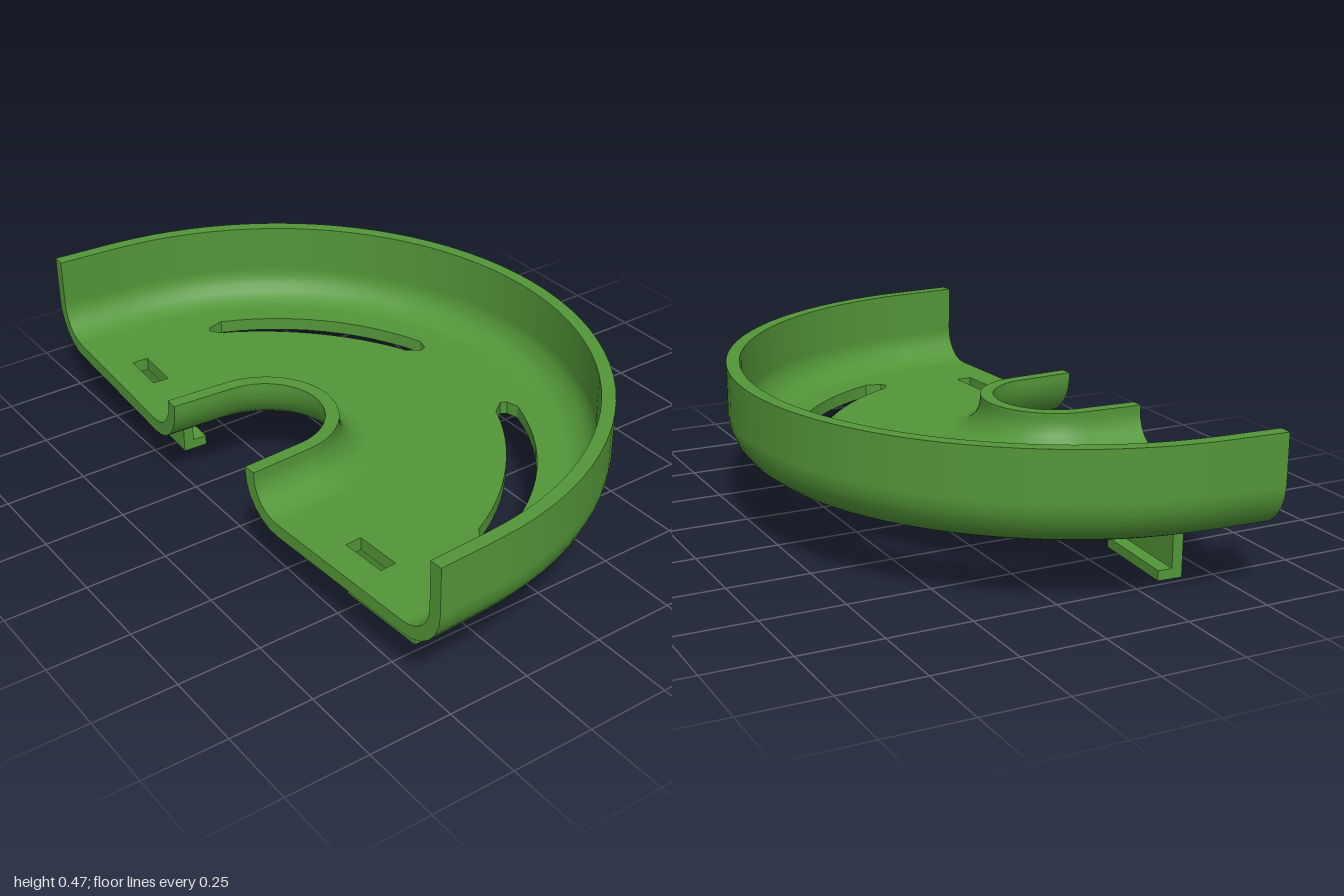
import * as THREE from 'three';
import { mergeGeometries } from 'three/addons/utils/BufferGeometryUtils.js';

const CX = -0.41;                          // centre of the curved sweep
const TILT = THREE.MathUtils.degToRad(3.3); // slant of the two cut ends
const END = Math.PI / 2 - TILT;
const STRAIGHT = 0.187;                    // straight run after the arc
const FLOOR = 0.19, THICK = 0.04, BEND_Y = 0.33;
const R_IN = 0.32, R_OUT = 0.85;           // flat part of the floor

// Stations along the sweep: straight, arc, straight
const stations = [];
const station = (a, run) => {
  const s = Math.sign(a);
  stations.push({ c: Math.cos(a), s: Math.sin(a), ox: CX - s * Math.sin(a) * run, oz: s * Math.cos(a) * run });
};
station(-END, STRAIGHT);
for (let i = 0; i <= 44; i++) station(-END + (2 * END * i) / 44, 0);
station(END, STRAIGHT);
const place = (st, r) => [st.ox + st.c * r, st.oz + st.s * r];

// Profile points are [r, y, normalR, normalY]
function bend(r, radius, from, to, sign) {
  const pts = [];
  for (let i = 0; i <= 6; i++) {
    const a = THREE.MathUtils.degToRad(from + ((to - from) * i) / 6);
    const c = Math.cos(a), s = Math.sin(a);
    pts.push([r + c * radius, BEND_Y + s * radius, c * sign, s * sign]);
  }
  return pts;
}

// Sweep one smooth strip of a profile along the stations
function sweep(strip) {
  const pos = [], nor = [], idx = [], n = strip.length;
  stations.forEach((st, i) => {
    strip.forEach(([r, y, nr, ny], j) => {
      const [x, z] = place(st, r);
      pos.push(x, y, z);
      nor.push(nr * st.c, ny, nr * st.s);
      if (i < stations.length - 1 && j < n - 1) {
        const a = i * n + j, b = a + 1, c = a + n, d = c + 1;
        idx.push(a, b, c, b, d, c);
      }
    });
  });
  const g = new THREE.BufferGeometry();
  g.setAttribute('position', new THREE.Float32BufferAttribute(pos, 3));
  g.setAttribute('normal', new THREE.Float32BufferAttribute(nor, 3));
  g.setIndex(idx);
  return g;
}

// Flat cap closing a rim at one cut end (side = 1 or -1 in z)
function cap(strips, side) {
  const pts = strips.flat().map(([r, y]) => new THREE.Vector2(r * side, y));
  const g = new THREE.ShapeGeometry(new THREE.Shape(pts));
  const st = side > 0 ? stations[stations.length - 1] : stations[0];
  const x = new THREE.Vector3(st.c * side, 0, st.s * side);
  const y = new THREE.Vector3(0, 1, 0);
  const m = new THREE.Matrix4().makeBasis(x, y, x.clone().cross(y)).setPosition(st.ox, 0, st.oz);
  g.applyMatrix4(m);
  g.deleteAttribute('uv');
  return g;
}

const rim = (strips) => mergeGeometries([...strips.map(sweep), cap(strips, 1), cap(strips, -1)]);

export function createModel() {
  const model = new THREE.Group();
  model.name = 'curvedTray';
  const green = new THREE.MeshStandardMaterial({ color: 0x539638 });
  green.name = 'green';
  const add = (geometry, name, parent = model) => {
    const mesh = new THREE.Mesh(geometry, green);
    mesh.name = name;
    parent.add(mesh);
    return mesh;
  };

  // Tall outer wall, rounded into the floor
  const top = 0.475;
  add(rim([
    [...bend(R_OUT, 0.14, -90, 0, 1), [0.99, top, 1, 0]],
    [[0.99, top, 0, 1], [0.95, top, 0, 1]],
    [[0.95, top, -1, 0], ...bend(R_OUT, 0.10, 0, -90, -1)],
  ]), 'outerWall');

  // Low lip around the central notch
  const lip = 0.345;
  add(rim([
    [...bend(R_IN, 0.10, 270, 180, -1), [0.22, lip, 1, 0]],
    [[0.22, lip, 0, 1], [0.18, lip, 0, 1]],
    [[0.18, lip, -1, 0], ...bend(R_IN, 0.14, 180, 270, 1)],
  ]), 'notchLip');

  // Flat floor with curved slots and clip holes
  const v = ([x, z]) => new THREE.Vector2(x, z);
  const floor = new THREE.Shape([
    ...stations.map((st) => v(place(st, R_OUT))),
    ...stations.map((st) => v(place(st, R_IN))).reverse(),
  ]);
  for (const side of [1, -1]) {
    const polar = (deg, r) => {
      const a = THREE.MathUtils.degToRad(deg);
      return new THREE.Vector2(CX + r * Math.cos(a), side * r * Math.sin(a));
    };
    const slot = [polar(15.2, 0.745), polar(15.6, 0.765)];
    for (let i = 0; i <= 12; i++) slot.push(polar(18 + (49.5 * i) / 12, 0.785));
    slot.push(polar(70.6, 0.755), polar(71, 0.735));
    for (let i = 0; i <= 12; i++) {
      slot.push(polar(68.5 - (50 * i) / 12, 0.713 - 0.016 * Math.sin((Math.PI * i) / 12)));
    }
    floor.holes.push(new THREE.Path(slot));

    const hole = [[0.049, 0.51], [0.099, 0.51], [0.099, 0.655], [0.049, 0.655]].map(([t, r]) =>
      new THREE.Vector2(
        CX + r * Math.sin(TILT) - t * Math.cos(TILT),
        side * (r * Math.cos(TILT) + t * Math.sin(TILT))));
    floor.holes.push(new THREE.Path(hole));
  }
  const floorGeo = new THREE.ExtrudeGeometry(floor, { depth: THICK, bevelEnabled: false });
  floorGeo.rotateX(-Math.PI / 2).translate(0, FLOOR, 0);
  add(floorGeo, 'floor');

  // Hooked clips under the floor, square to the cut ends
  for (const side of [1, -1]) {
    const clip = new THREE.Group();
    clip.name = side > 0 ? 'frontClip' : 'backClip';
    clip.position.x = CX;
    clip.rotation.y = side * TILT;
    const section = new THREE.Shape([
      [-0.042, 0], [0.033, 0], [0.033, 0.03], [-0.01, 0.03], [-0.01, FLOOR + 0.005], [-0.042, FLOOR + 0.005],
    ].map(v));
    const g = new THREE.ExtrudeGeometry(section, { depth: 0.289, bevelEnabled: false });
    g.translate(0, 0, side * 0.5845 - 0.1445);
    add(g, 'clipHook', clip);
    model.add(clip);
  }
  return model;
}
